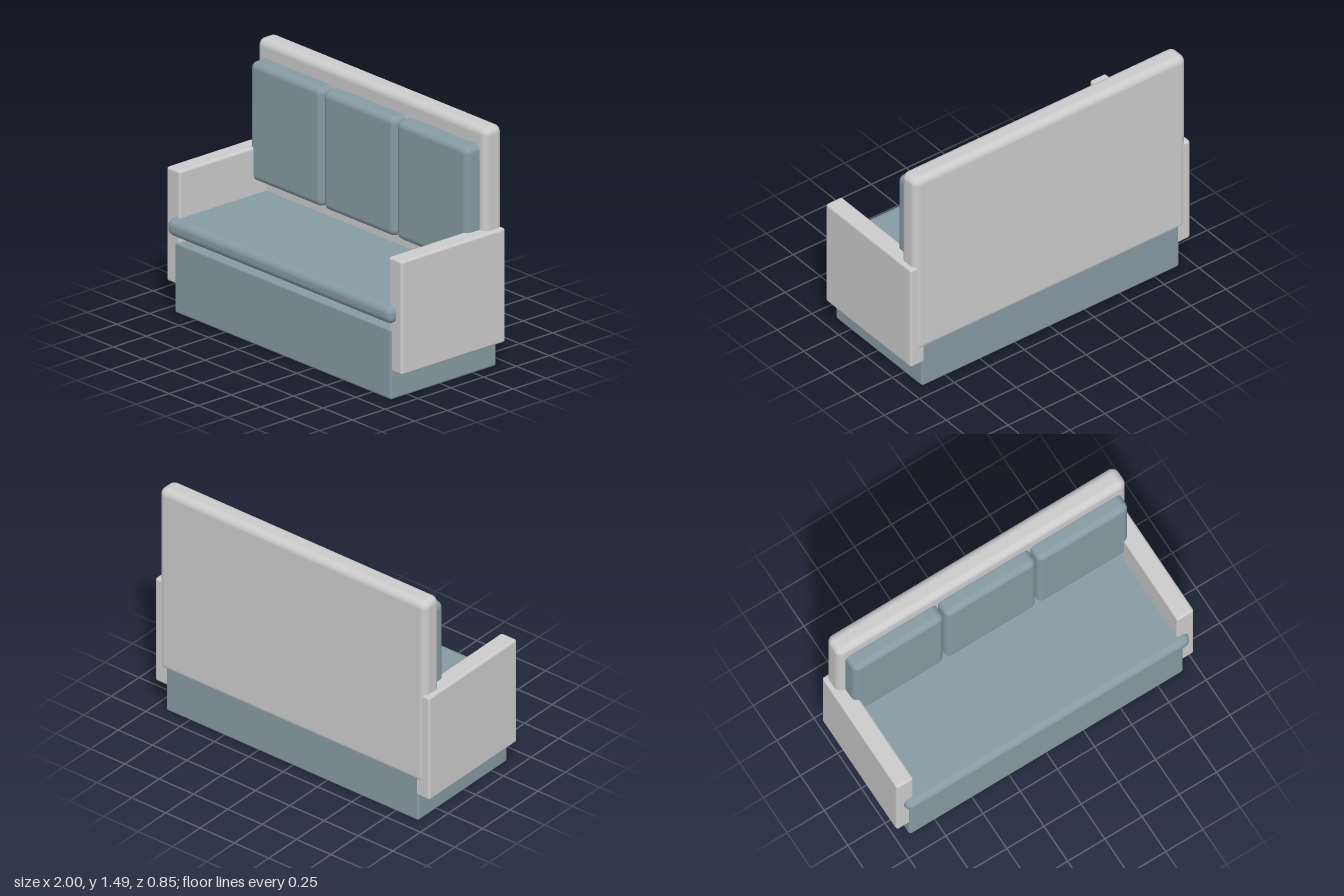
import * as THREE from 'three';
import { RoundedBoxGeometry } from 'three/addons/geometries/RoundedBoxGeometry.js';

export function createModel() {
  const sofa = new THREE.Group();
  sofa.name = 'sofa';
  const frame = new THREE.MeshStandardMaterial({ color: 0xcccccc });
  const fabric = new THREE.MeshStandardMaterial({ color: 0x879aa3 });

  // Rounded block given by its extents on each axis
  function block(name, material, [x0, x1], [y0, y1], [z0, z1], radius) {
    const geometry = new RoundedBoxGeometry(x1 - x0, y1 - y0, z1 - z0, 5, radius);
    const mesh = new THREE.Mesh(geometry, material);
    mesh.name = name;
    mesh.position.set((x0 + x1) / 2, (y0 + y1) / 2, (z0 + z1) / 2);
    sofa.add(mesh);
  }

  // Plinth and overhanging seat cushion, with a narrow gap between them
  block('base', fabric, [-0.92, 0.92], [0, 0.43], [-0.42, 0.385], 0.015);
  block('seatCushion', fabric, [-0.953, 0.953], [0.47, 0.577], [-0.37, 0.424], 0.045);

  // Tall back panel
  block('backPanel', frame, [-0.972, 0.972], [0.26, 1.486], [-0.424, -0.287], 0.045);

  // Armrests
  block('leftArm', frame, [0.886, 1], [0.168, 0.864], [-0.419, 0.374], 0.016);
  block('rightArm', frame, [-1, -0.886], [0.168, 0.864], [-0.419, 0.374], 0.016);

  // Three back cushions
  ['rightBackCushion', 'middleBackCushion', 'leftBackCushion'].forEach((name, i) => {
    const x = (i - 1) * 0.62;
    block(name, fabric, [x - 0.304, x + 0.304], [0.657, 1.38], [-0.32, -0.19], 0.04);
  });

  return sofa;
}
